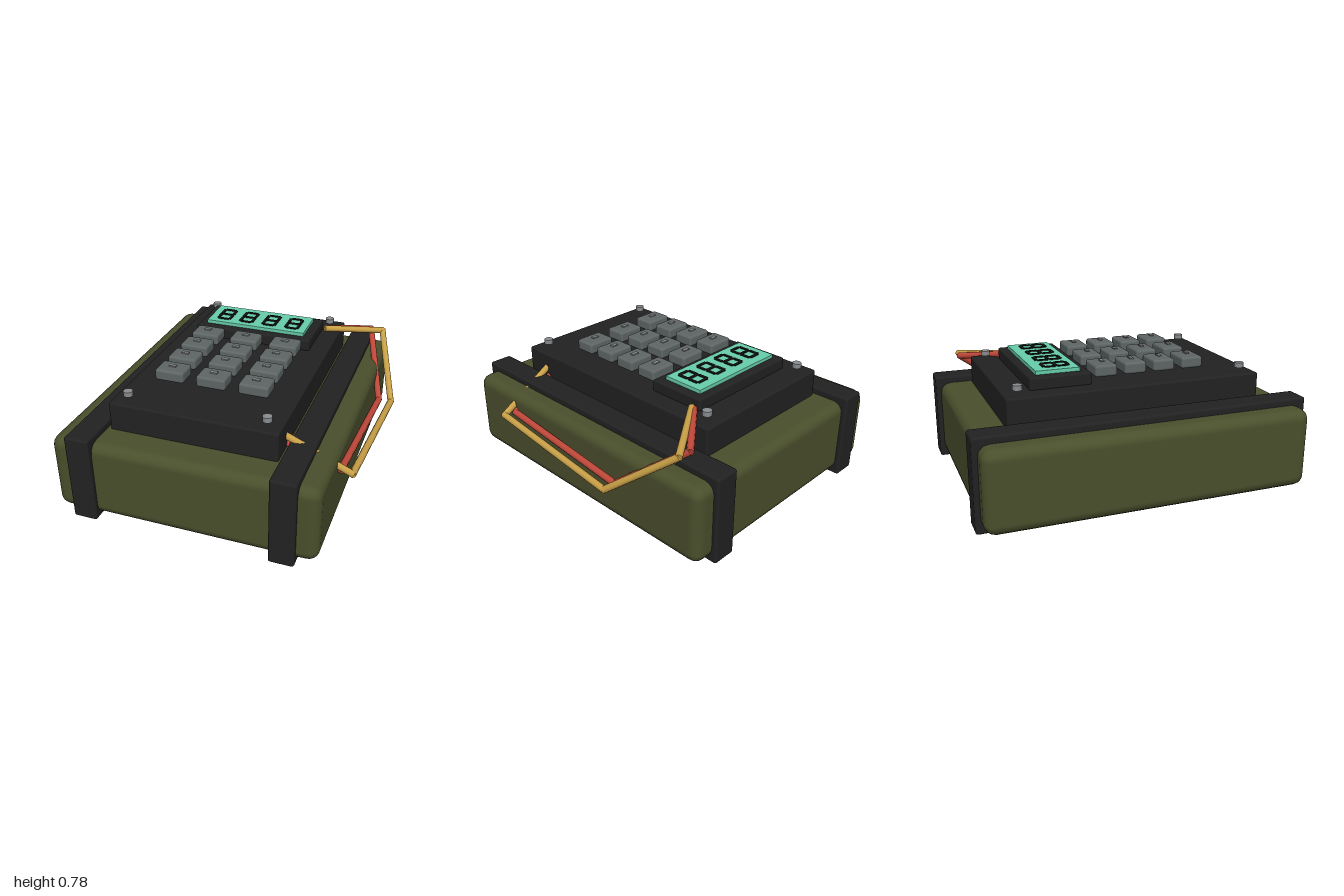
import * as THREE from 'three';
import { RoundedBoxGeometry } from 'three/addons/geometries/RoundedBoxGeometry.js';

const mat = (name, color) => {
  const m = new THREE.MeshStandardMaterial({ color });
  m.name = name;
  return m;
};

export function createModel() {
  const model = new THREE.Group();
  model.name = 'keypadDevice';

  const olive = mat('olive', 0x4a4f2c);
  const black = mat('black', 0x222222);
  const ink = mat('segment black', 0x101412);
  const keyGrey = mat('key grey', 0x5f6666);
  const metal = mat('light grey', 0x8a8e90);
  const mint = mat('screen mint', 0x68cfab);
  const red = mat('wire red', 0xc0483a);
  const yellow = mat('wire yellow', 0xc9a047);

  const add = (name, geometry, material, parent = model) => {
    const mesh = new THREE.Mesh(geometry, material);
    mesh.name = name;
    parent.add(mesh);
    return mesh;
  };

  // Box given by its extents along each axis, rounded when a radius is given
  const box = (name, [x0, x1], [y0, y1], [z0, z1], material, radius = 0, parent = model, seg = 2) => {
    const size = [x1 - x0, y1 - y0, z1 - z0];
    const geo = radius ? new RoundedBoxGeometry(...size, seg, radius) : new THREE.BoxGeometry(...size);
    add(name, geo, material, parent).position.set((x0 + x1) / 2, (y0 + y1) / 2, (z0 + z1) / 2);
  };

  const group = (name) => {
    const g = new THREE.Group();
    g.name = name;
    model.add(g);
    return g;
  };

  // Body, straps and control panel
  box('body', [-0.87, 0.72], [0.025, 0.505], [-0.97, 0.97], olive, 0.065);
  box('rightStrap', [-0.75, -0.6], [0, 0.547], [-1, 1], black, 0.015);
  box('leftStrap', [0.45, 0.6], [0, 0.547], [-1, 1], black, 0.015);
  box('panel', [-0.58, 0.43], [0.44, 0.677], [-0.77, 0.77], black, 0.012);

  // Display with four seven-segment digits
  box('displayHousing', [-0.465, 0.312], [0.67, 0.747], [-0.61, -0.245], black, 0.012);
  box('screen', [-0.41, 0.257], [0.735, 0.769], [-0.56, -0.3], mint);
  const digits = group('digits');
  const t = 0.009, dy = [0.77, 0.776], zc = -0.421;
  for (let i = 0; i < 4; i++) {
    const x = -0.31 + i * 0.157;
    for (const z of [-0.073, 0, 0.073]) {
      box('segmentAcross', [x - 0.035, x + 0.035], dy, [zc + z - t, zc + z + t], ink, 0, digits);
    }
    for (const sx of [-0.04, 0.04]) {
      for (const sz of [-0.038, 0.038]) {
        box('segmentUpright', [x + sx - t, x + sx + t], dy, [zc + sz - 0.032, zc + sz + 0.032], ink, 0, digits);
      }
    }
  }

  // Keypad: three columns by four rows, each key with a small mark
  const keys = group('keypad');
  for (const x of [-0.339, -0.079, 0.182]) {
    for (const z of [-0.143, 0.04, 0.222, 0.405]) {
      box('key', [x - 0.09, x + 0.09], [0.7, 0.77], [z - 0.068, z + 0.068], keyGrey, 0.016, keys);
      box('keyMark', [x - 0.022, x + 0.022], [0.774, 0.781], [z - 0.011, z + 0.011], metal, 0, keys);
    }
  }

  // Corner screws
  const screws = group('screws');
  for (const x of [-0.492, 0.34]) {
    for (const z of [-0.687, 0.687]) {
      add('screw', new THREE.CylinderGeometry(0.028, 0.028, 0.03, 12), metal, screws).position.set(x, 0.713, z);
    }
  }

  // Wires: straight rods joined end to end
  const up = new THREE.Vector3(0, 1, 0);
  const wire = (name, points, radius, material) => {
    const g = group(name);
    const p = points.map((c) => new THREE.Vector3(...c));
    for (let i = 0; i < p.length - 1; i++) {
      const dir = p[i + 1].clone().sub(p[i]);
      const rod = add('wireSection', new THREE.CylinderGeometry(radius, radius, dir.length() + 0.012, 10), material, g);
      rod.position.copy(p[i]).add(p[i + 1]).multiplyScalar(0.5);
      rod.quaternion.setFromUnitVectors(up, dir.normalize());
    }
  };
  wire('yellowWire', [
    [0.34, 0.7, -0.575], [0.69, 0.64, -0.805], [0.848, 0.322, -0.4], [0.803, 0.385, 0.578], [0.36, 0.61, 0.617],
  ], 0.021, yellow);
  wire('redWire', [
    [0.34, 0.695, -0.59], [0.61, 0.64, -0.81], [0.768, 0.322, -0.4], [0.733, 0.385, 0.56], [0.36, 0.55, 0.6],
  ], 0.021, red);

  return model;
}
